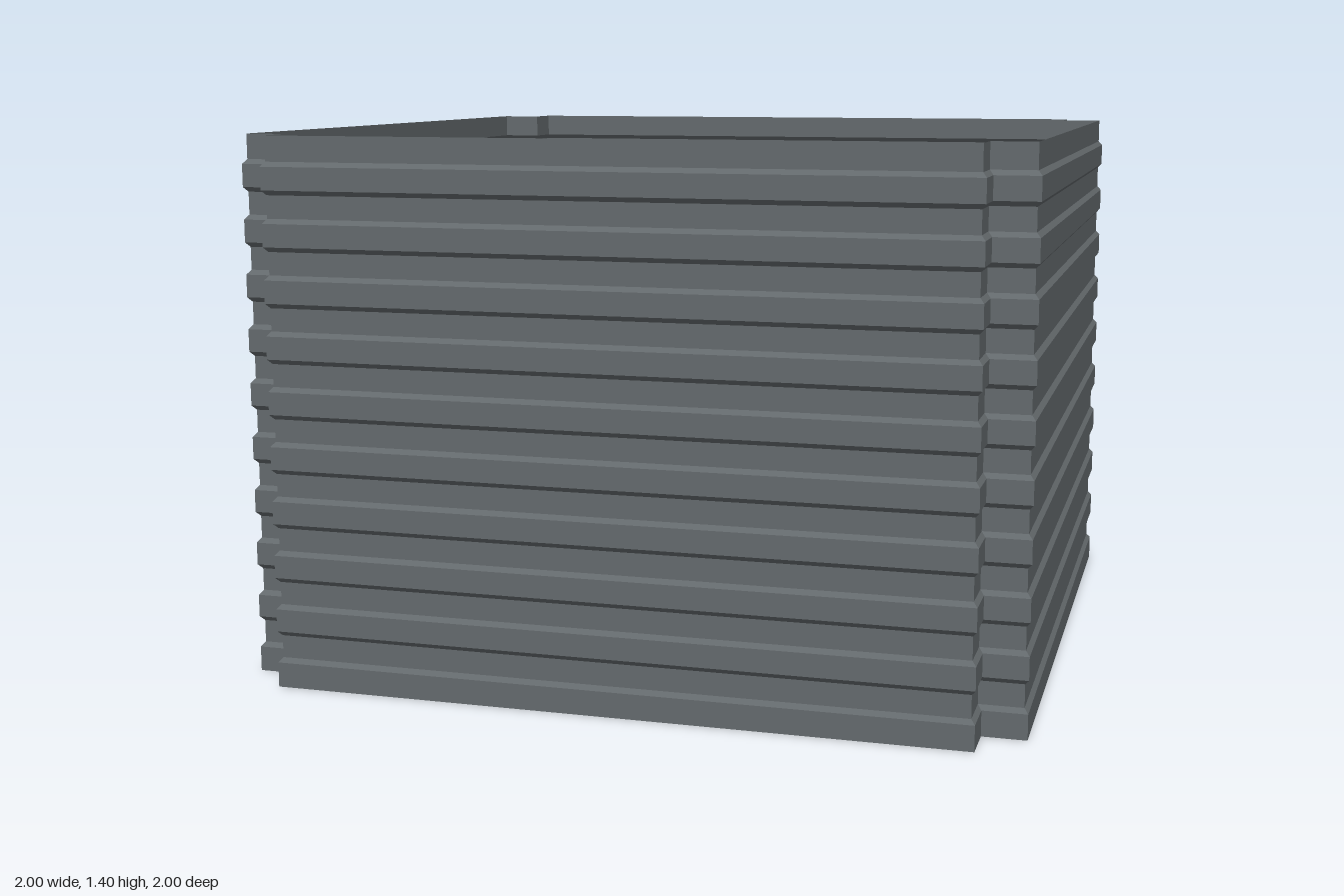
import * as THREE from 'three';

const HEIGHT = 1.4, BANDS = 20, DEPTH = 0.01, SLOPE = 0.012;
const STEP = HEIGHT / BANDS;

// Rib profile from bottom to top: [inset, y], alternating outer and inner bands
function ribProfile() {
  const rows = [];
  for (let i = 0; i < BANDS; i++) {
    const inset = i % 2 ? DEPTH : 0;
    rows.push([inset, i === 0 ? 0 : i * STEP + SLOPE / 2]);
    rows.push([inset, i === BANDS - 1 ? HEIGHT : (i + 1) * STEP - SLOPE / 2]);
  }
  return rows;
}

// Square plan with notched corners, running counter-clockwise around y
function outline(inset) {
  const a = 1 - inset, b = 0.89 - inset;
  const side = [[-b, a], [b, a], [b, b]];
  const points = [];
  for (let q = 0; q < 4; q++) {
    for (const [x, z] of side) {
      let p = [x, z];
      for (let k = 0; k < q; k++) p = [p[1], -p[0]];
      points.push(p);
    }
  }
  return points;
}

// Ribbed sheet following `count` outline edges from edge `start`
function ribbedSheet(start, count) {
  const rows = ribProfile().map(([inset, y]) => outline(inset).map(([x, z]) => [x, y, z]));
  const pos = [];
  for (let e = start; e < start + count; e++) {
    const i = e % 12, j = (e + 1) % 12;
    for (let r = 0; r < rows.length - 1; r++) {
      const a = rows[r][i], b = rows[r][j], c = rows[r + 1][j], d = rows[r + 1][i];
      pos.push(...a, ...b, ...c, ...a, ...c, ...d);
    }
  }
  const geometry = new THREE.BufferGeometry();
  geometry.setAttribute('position', new THREE.Float32BufferAttribute(pos, 3));
  geometry.computeVertexNormals();
  return geometry;
}

export function createModel() {
  const model = new THREE.Group();
  model.name = 'ribbedEnclosure';
  const greySheet = new THREE.MeshStandardMaterial({ color: 0x646a6d, side: THREE.DoubleSide });
  greySheet.name = 'dark grey sheet';

  const add = (name, start, count) => {
    const mesh = new THREE.Mesh(ribbedSheet(start, count), greySheet);
    mesh.name = name;
    model.add(mesh);
  };

  // One wall and one notched corner for each quarter turn
  const walls = ['frontWall', 'leftWall', 'backWall', 'rightWall'];
  const corners = ['frontLeftCorner', 'backLeftCorner', 'backRightCorner', 'frontRightCorner'];
  for (let q = 0; q < 4; q++) {
    add(walls[q], q * 3, 1);
    add(corners[q], q * 3 + 1, 2);
  }
  return model;
}
